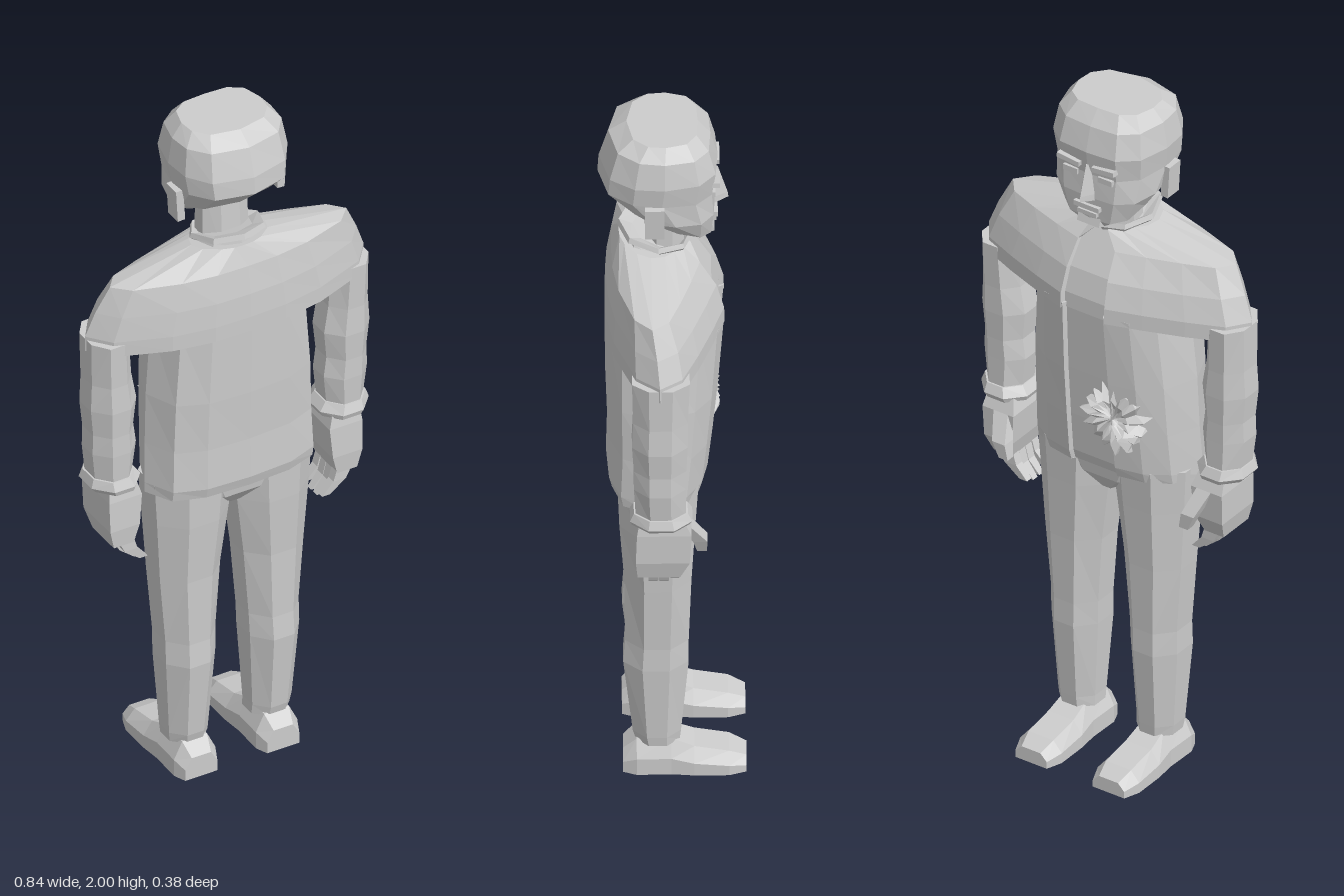
import * as THREE from 'three';

const grey = new THREE.MeshStandardMaterial({ color: 0xcccccc, flatShading: true });
grey.name = 'plain grey';

// Faceted skin over a row of closed rings, capped at both ends and always facing outward
function loft(name, rings) {
  const tris = [];
  const n = rings[0].length;
  for (let i = 0; i < rings.length - 1; i++) {
    for (let j = 0; j < n; j++) {
      const k = (j + 1) % n, lo = rings[i], hi = rings[i + 1];
      tris.push([lo[j], hi[j], hi[k]], [lo[j], hi[k], lo[k]]);
    }
  }
  const centre = (r) => [0, 1, 2].map((a) => r.reduce((s, p) => s + p[a], 0) / n);
  const first = rings[0], last = rings[rings.length - 1];
  for (let j = 0; j < n; j++) {
    const k = (j + 1) % n;
    tris.push([centre(first), first[j], first[k]], [centre(last), last[k], last[j]]);
  }
  const v = (p) => new THREE.Vector3(...p);
  const volume = tris.reduce((s, [a, b, c]) => s + v(a).dot(v(b).cross(v(c))), 0);
  if (volume < 0) tris.forEach((t) => t.reverse());
  const geo = new THREE.BufferGeometry();
  geo.setAttribute('position', new THREE.Float32BufferAttribute(tris.flat(2), 3));
  geo.computeVertexNormals();
  const mesh = new THREE.Mesh(geo, grey);
  mesh.name = name;
  return mesh;
}

// Symmetric ring from a half outline: u runs across the width, v from front (-1) to back (1)
function section(half, yFront, yBack, w, zf, zb) {
  const point = ([u, v], s) => {
    const t = (v + 1) / 2;
    return [s * u * w, yFront + (yBack - yFront) * t, zf + (zb - zf) * t];
  };
  const side = half.slice(1, -1).reverse();
  return [...half.map((p) => point(p, 1)), ...side.map((p) => point(p, -1))];
}

// Limb ring from its x and z limits
function limbRing(s, sides, [y, x0, x1, z0, z1]) {
  return Array.from({ length: sides }, (_, i) => {
    const a = ((i + 0.5) / sides) * Math.PI * 2, k = 1 / Math.cos(Math.PI / sides);
    return [s * ((x0 + x1) / 2 + Math.cos(a) * k * (x1 - x0) / 2), y,
      (z0 + z1) / 2 + Math.sin(a) * k * (z1 - z0) / 2];
  });
}
const limb = (name, s, sides, rows) => loft(name, rows.map((r) => limbRing(s, sides, r)));

function box(name, w, h, d, x, y, z, rx = 0, rz = 0) {
  const mesh = new THREE.Mesh(new THREE.BoxGeometry(w, h, d), grey);
  mesh.position.set(x, y, z);
  mesh.rotation.set(rx, 0, rz);
  mesh.name = name;
  return mesh;
}

function createHead() {
  const head = new THREE.Group();
  head.name = 'head';
  const outline = [[0, -1], [0.55, -0.96], [0.87, -0.68], [1, -0.1], [0.96, 0.4], [0.68, 0.82], [0, 1]];
  head.add(loft('skull', [
    [1.66, 1.74, 0.07, -0.095, 0.05],
    [1.68, 1.76, 0.115, -0.108, 0.09],
    [1.75, 1.77, 0.143, -0.115, 0.115],
    [1.82, 1.84, 0.152, -0.112, 0.19],
    [1.89, 1.89, 0.16, -0.122, 0.187],
    [1.96, 1.97, 0.148, -0.103, 0.162],
    [2.0, 2.0, 0.118, -0.07, 0.115],
  ].map((r) => section(outline, ...r))));

  // Nose wedge, brow, mouth and chin
  head.add(loft('nose', [
    [[0.027, 1.745, -0.105], [0, 1.75, -0.15], [-0.027, 1.745, -0.105]],
    [[0.026, 1.765, -0.105], [0, 1.765, -0.148], [-0.026, 1.765, -0.105]],
    [[0.01, 1.85, -0.105], [0, 1.85, -0.122], [-0.01, 1.85, -0.105]],
  ]));
  head.add(box('upperLip', 0.08, 0.014, 0.02, 0, 1.722, -0.112));
  head.add(box('lowerLip', 0.06, 0.012, 0.02, 0, 1.702, -0.109));
  head.add(box('chin', 0.07, 0.03, 0.03, 0, 1.675, -0.095, 0.3));
  for (const s of [1, -1]) {
    head.add(box('brow', 0.07, 0.014, 0.024, s * 0.055, 1.85, -0.115, 0, s * 0.1));
    head.add(box('eye', 0.045, 0.016, 0.012, s * 0.055, 1.815, -0.11));
    head.add(box('ear', 0.022, 0.095, 0.05, s * 0.152, 1.782, 0.043, 0, -s * 0.06));
  }
  return head;
}

function createJacket() {
  const jacket = new THREE.Group();
  jacket.name = 'jacket';
  // The first two points form the recessed strip between the front edges
  const trunk = [[0, -0.91], [0.27, -0.91], [0.29, -1], [0.6, -0.88], [0.85, -0.58], [1, 0.1], [0.84, 0.72], [0.5, 0.95], [0, 1]];
  const yoke = [[0, -0.91], [0.155, -0.91], [0.165, -1], [0.4, -0.8], [0.66, -0.55], [0.9, -0.28], [1, 0.1], [0.88, 0.5], [0.53, 0.85], [0.25, 0.98], [0, 1]];
  jacket.add(loft('jacketBody', [
    [0.9, 0.9, 0.25, -0.085, 0.16],
    [0.93, 0.93, 0.25, -0.095, 0.168],
    [1.05, 1.05, 0.245, -0.108, 0.165],
    [1.2, 1.2, 0.24, -0.122, 0.17],
    [1.41, 1.41, 0.222, -0.138, 0.172],
  ].map((r) => section(trunk, ...r))));
  jacket.add(loft('shoulders', [
    [1.395, 1.395, 0.418, -0.139, 0.172],
    [1.44, 1.44, 0.418, -0.138, 0.172],
    [1.51, 1.51, 0.392, -0.118, 0.168],
    [1.58, 1.59, 0.355, -0.075, 0.155],
    [1.62, 1.645, 0.11, -0.05, 0.135],
  ].map((r) => section(yoke, ...r))));

  // Tilted collar with a flared rim
  const round = [[0, -1], [0.6, -0.8], [1, -0.1], [0.75, 0.7], [0, 1]];
  jacket.add(loft('collar', [
    [1.59, 1.63, 0.105, -0.05, 0.125],
    [1.61, 1.655, 0.09, -0.045, 0.12],
    [1.625, 1.665, 0.105, -0.055, 0.14],
    [1.638, 1.68, 0.1, -0.05, 0.135],
    [1.625, 1.665, 0.075, -0.035, 0.1],
  ].map((r) => section(round, ...r))));

  // Crumpled burst on the belly, rippled around its rim
  const star = (r, z, phase) => Array.from({ length: 30 }, (_, i) => {
    const a = (i / 30) * Math.PI * 2;
    const jag = r * (i % 2 ? 0.8 : 1) * (1 + 0.1 * Math.sin(i * 2.3 + phase));
    return [-0.075 + jag * Math.cos(a), 1.09 + jag * 1.05 * Math.sin(a), z + (i % 2 ? 0.012 : 0)];
  });
  jacket.add(loft('bellyBurst', [star(0.1, -0.07, 0), star(0.095, -0.112, 1), star(0.06, -0.128, 2), star(0.02, -0.116, 3)]));
  return jacket;
}

function createArm(s) {
  const arm = new THREE.Group();
  arm.name = s > 0 ? 'leftArm' : 'rightArm';
  arm.add(limb('sleeve', s, 8, [
    [0.99, 0.292, 0.402, -0.035, 0.095],
    [1.08, 0.282, 0.412, -0.035, 0.1],
    [1.14, 0.29, 0.41, -0.036, 0.1],
    [1.22, 0.282, 0.418, -0.04, 0.105],
    [1.3, 0.296, 0.414, -0.04, 0.102],
    [1.43, 0.305, 0.416, -0.045, 0.105],
  ]));
  arm.add(limb('cuff', s, 8, [
    [0.96, 0.276, 0.404, -0.045, 0.105],
    [0.975, 0.27, 0.416, -0.052, 0.11],
    [1.0, 0.288, 0.408, -0.04, 0.1],
  ]));
  arm.add(limb('palm', s, 4, [
    [0.785, 0.305, 0.365, -0.02, 0.09],
    [0.84, 0.29, 0.378, -0.045, 0.095],
    [0.93, 0.282, 0.38, -0.05, 0.092],
    [0.975, 0.295, 0.375, -0.03, 0.085],
  ]));
  // Fingers curl inward
  for (let i = 0; i < 4; i++) {
    const z = 0.077 - i * 0.028, drop = [0.012, 0, 0, 0.01][i];
    arm.add(limb('finger', s, 4, [
      [0.712 + drop, 0.262, 0.286, z - 0.01, z + 0.01],
      [0.75 + drop, 0.294, 0.332, z - 0.013, z + 0.013],
      [0.82, 0.312, 0.362, z - 0.013, z + 0.013],
    ]));
  }
  arm.add(limb('thumb', s, 4, [
    [0.82, 0.272, 0.3, -0.09, -0.065],
    [0.865, 0.28, 0.32, -0.092, -0.055],
    [0.93, 0.3, 0.345, -0.05, -0.02],
  ]));
  return arm;
}

function createLeg(s) {
  const leg = new THREE.Group();
  leg.name = s > 0 ? 'leftLeg' : 'rightLeg';
  leg.add(limb('trouserLeg', s, 8, [
    [0.09, 0.066, 0.18, -0.022, 0.092],
    [0.12, 0.066, 0.184, -0.025, 0.1],
    [0.35, 0.052, 0.2, -0.045, 0.125],
    [0.42, 0.05, 0.2, -0.045, 0.12],
    [0.62, 0.035, 0.216, -0.052, 0.122],
    [0.8, 0.012, 0.228, -0.062, 0.135],
    [0.93, 0.0, 0.236, -0.07, 0.14],
  ]));
  // Shoe cross-sections from heel to toe
  leg.add(loft('shoe', [
    [0.125, 0.048, 0.065], [0.09, 0.062, 0.1], [0, 0.06, 0.1],
    [-0.06, 0.066, 0.076], [-0.15, 0.066, 0.06], [-0.195, 0.05, 0.04],
  ].map(([z, w, h]) => [[-1, 0], [1, 0], [1, 0.5], [0.6, 1], [-0.6, 1], [-1, 0.5]]
    .map(([u, v]) => [s * 0.123 + u * w, v * h, z]))));
  return leg;
}

export function createModel() {
  const figure = new THREE.Group();
  figure.name = 'standingFigure';
  figure.add(createHead(), createJacket());
  figure.add(limb('neck', 1, 8, [[1.6, -0.07, 0.07, -0.035, 0.07], [1.78, -0.065, 0.065, -0.03, 0.06]]));
  figure.add(limb('hips', 1, 8, [[0.81, -0.03, 0.03, -0.03, 0.09], [0.86, -0.13, 0.13, -0.06, 0.13], [0.93, -0.2, 0.2, -0.07, 0.14]]));
  for (const s of [1, -1]) figure.add(createArm(s), createLeg(s));
  return figure;
}
